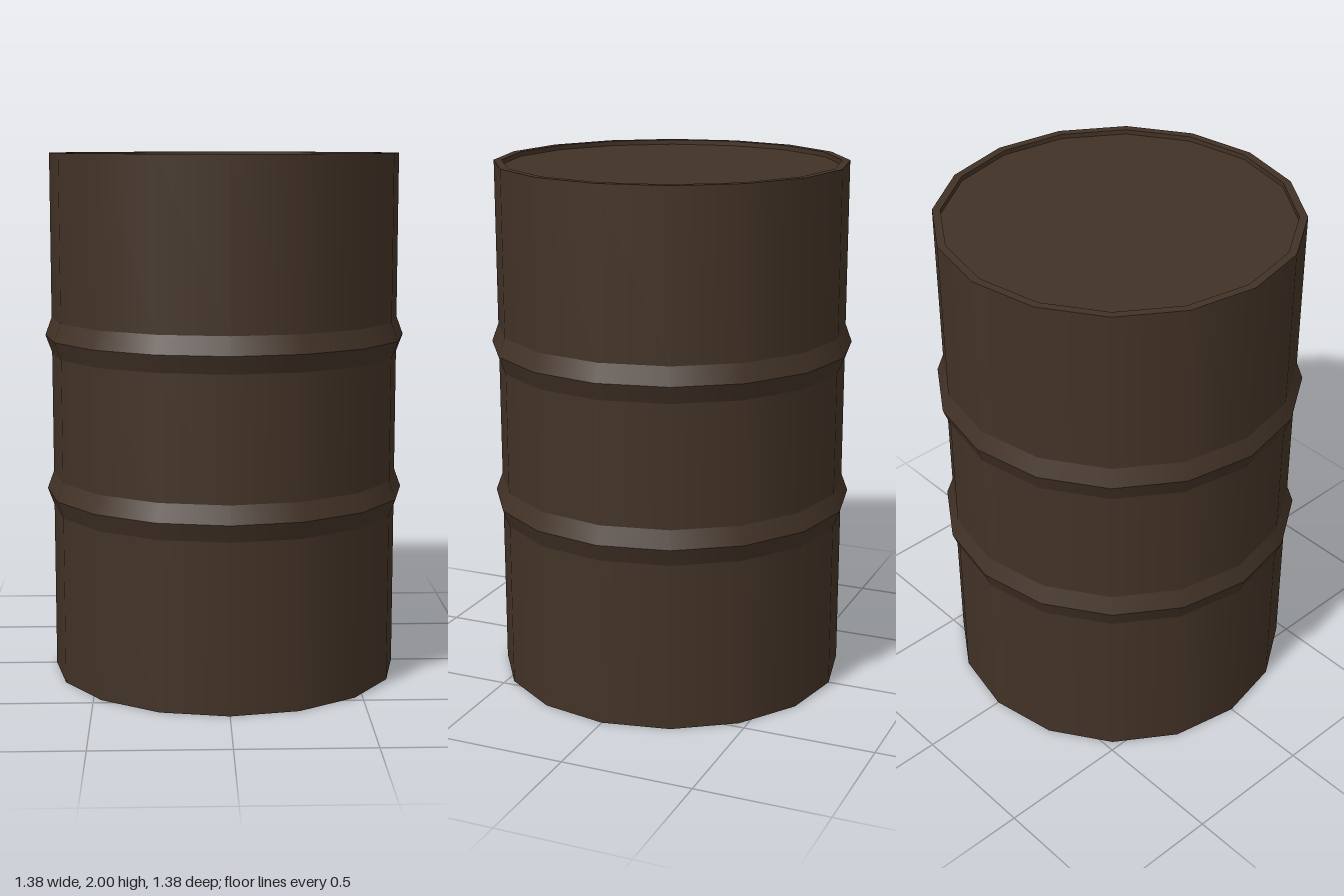
import * as THREE from 'three';
import { mergeGeometries } from 'three/addons/utils/BufferGeometryUtils.js';

const SIDES = 16;
const R = 0.665;      // drum wall
const RIB = 0.69;     // crest of the rolling hoops
const INNER = 0.635;  // inside of the rims
const RECESS = 0.018; // depth of the sunken ends

// Revolve each profile step on its own: smooth around, sharp between bands
function bands(profile) {
  const parts = [];
  for (let i = 0; i < profile.length - 1; i++) {
    const pair = [profile[i], profile[i + 1]].map(([r, y]) => new THREE.Vector2(r, y));
    parts.push(new THREE.LatheGeometry(pair, SIDES));
  }
  return mergeGeometries(parts);
}

export function createModel() {
  const group = new THREE.Group();
  group.name = 'barrel';
  const paint = new THREE.MeshStandardMaterial({ color: 0x423226 });
  paint.name = 'dark brown metal';

  const add = (name, profile) => {
    const mesh = new THREE.Mesh(bands(profile), paint);
    mesh.name = name;
    group.add(mesh);
  };

  // Sunken base and its rim
  add('base', [[0, RECESS], [INNER, RECESS]]);
  add('bottomRim', [[INNER, RECESS], [INNER, 0], [R, 0]]);

  // Wall sections between the hoops
  add('lowerWall', [[R, 0], [R, 0.64]]);
  add('middleWall', [[R, 0.775], [R, 1.24]]);
  add('upperWall', [[R, 1.375], [R, 2]]);

  // Two pointed rolling hoops
  add('lowerHoop', [[R, 0.64], [RIB, 0.707], [R, 0.775]]);
  add('upperHoop', [[R, 1.24], [RIB, 1.307], [R, 1.375]]);

  // Top rim and sunken lid
  add('topRim', [[R, 2], [INNER, 2], [INNER, 2 - RECESS]]);
  add('lid', [[INNER, 2 - RECESS], [0, 2 - RECESS]]);

  return group;
}
